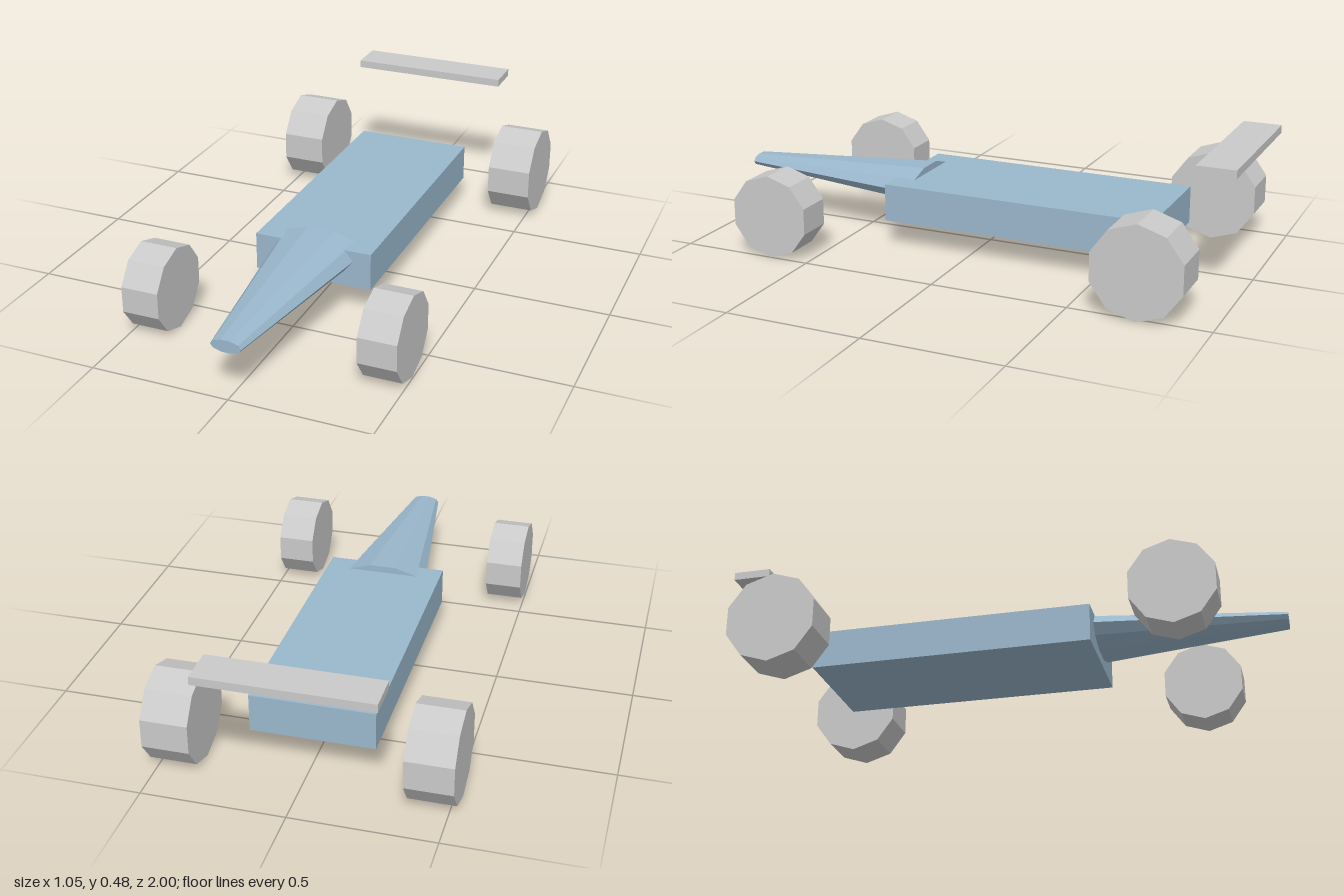
import * as THREE from 'three';

const flat = (name, color) => {
  const m = new THREE.MeshStandardMaterial({ color, flatShading: true });
  m.name = name;
  return m;
};

export function createModel() {
  const car = new THREE.Group();
  car.name = 'openWheelCar';
  const blue = flat('paleBlue', 0x9ab7cc);
  const grey = flat('lightGrey', 0xcacaca);

  const add = (name, geometry, material, x, y, z) => {
    const mesh = new THREE.Mesh(geometry, material);
    mesh.name = name;
    mesh.position.set(x, y, z);
    car.add(mesh);
  };

  // Chassis slab
  add('body', new THREE.BoxGeometry(0.44, 0.138, 1.025), blue, 0, 0.169, -0.1875);

  // Flattened ten-sided cone, its wide end sunk into the body
  const nose = new THREE.CylinderGeometry(0.055, 0.163, 0.75, 10)
    .rotateY(Math.PI / 2)
    .rotateX(Math.PI / 2)
    .scale(1, 0.42, 1);
  add('nose', nose, blue, 0, 0.198, 0.625);

  // Floating rear wing
  add('rearWing', new THREE.BoxGeometry(0.604, 0.029, 0.138), grey, 0, 0.4675, -0.931);

  // Ten-sided wheels, each standing on a corner
  const axles = [
    { name: 'Front', r: 0.153, inner: 0.36, outer: 0.497, z: 0.65 },
    { name: 'Rear', r: 0.1675, inner: 0.36, outer: 0.525, z: -0.745 },
  ];
  for (const { name, r, inner, outer, z } of axles) {
    const wheel = new THREE.CylinderGeometry(r, r, outer - inner, 10)
      .rotateY(Math.PI / 2)
      .rotateZ(Math.PI / 2);
    for (const side of [1, -1]) {
      add((side > 0 ? 'left' : 'right') + name + 'Wheel', wheel, grey, side * (inner + outer) / 2, r, z);
    }
  }
  return car;
}
